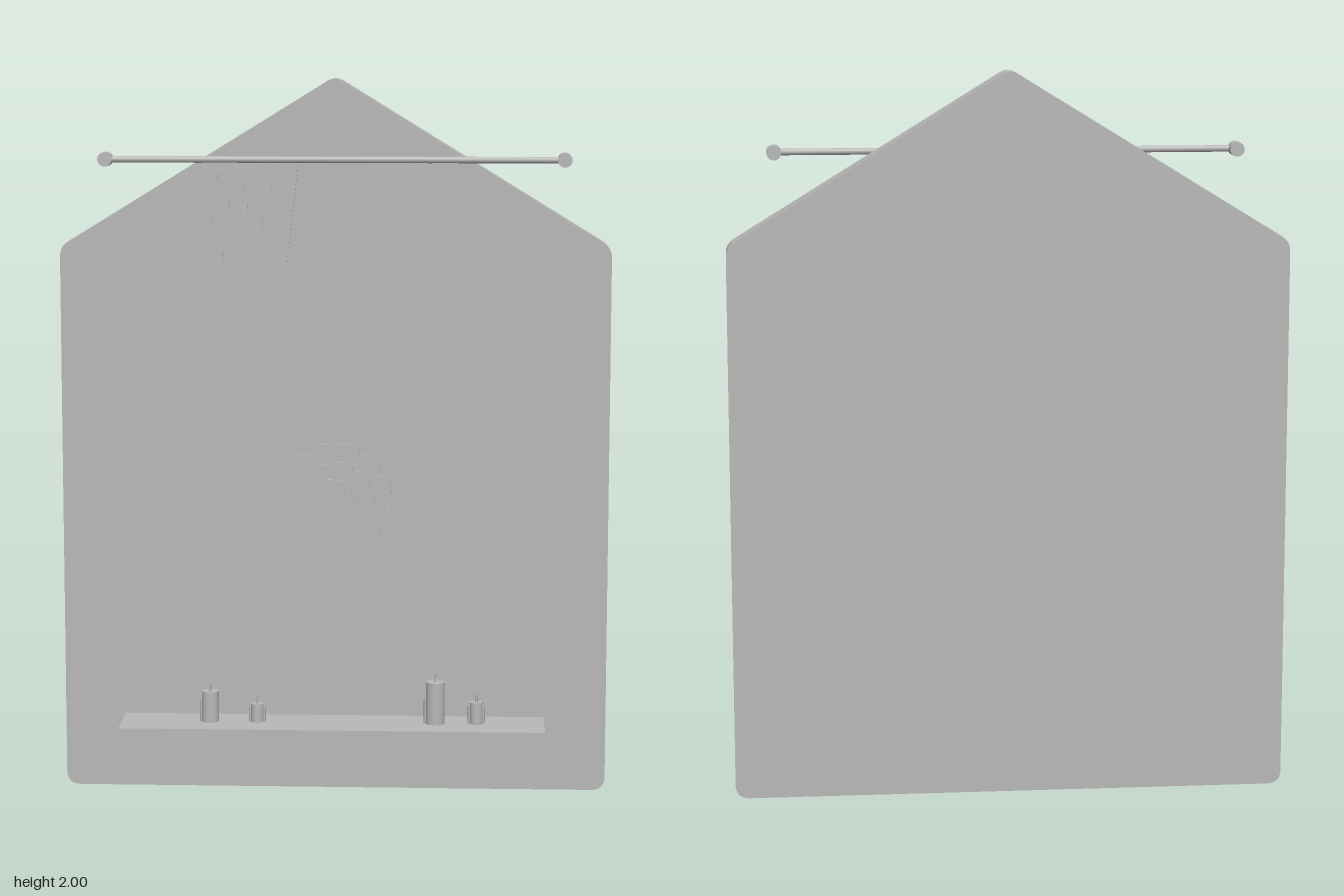
import * as THREE from 'three';

const grey = new THREE.MeshStandardMaterial({ color: 0xb8b8b8 });
grey.name = 'stone grey';

function add(parent, name, geometry, x = 0, y = 0, z = 0) {
  const mesh = new THREE.Mesh(geometry, grey);
  mesh.name = name;
  mesh.position.set(x, y, z);
  parent.add(mesh);
  return mesh;
}

const plate = (shape, depth) =>
  new THREE.ExtrudeGeometry(shape, { depth, bevelEnabled: false, curveSegments: 8 });

const polygon = (points) => new THREE.Shape(points.map(([x, y]) => new THREE.Vector2(x, y)));

function ellipse(x, y, rx, ry) {
  return new THREE.Path().absellipse(x, y, rx, ry, 0, Math.PI * 2);
}

// Small pointed drop, cut through the bunting
function drop(x, y) {
  const p = new THREE.Path();
  p.moveTo(x, y + 0.023);
  p.quadraticCurveTo(x + 0.03, y - 0.004, x, y - 0.023);
  p.quadraticCurveTo(x - 0.03, y - 0.004, x, y + 0.023);
  return p;
}

// House-shaped board with rounded corners
function boardShape() {
  const s = new THREE.Shape();
  s.moveTo(-0.725, 0);
  s.lineTo(0.725, 0);
  s.quadraticCurveTo(0.765, 0, 0.765, 0.04);
  s.lineTo(0.765, 1.51);
  s.quadraticCurveTo(0.765, 1.535, 0.745, 1.549);
  s.lineTo(0.022, 1.993);
  s.quadraticCurveTo(0, 2.007, -0.022, 1.993);
  s.lineTo(-0.745, 1.549);
  s.quadraticCurveTo(-0.765, 1.535, -0.765, 1.51);
  s.lineTo(-0.765, 0.04);
  s.quadraticCurveTo(-0.765, 0, -0.725, 0);
  return s;
}

// Scalloped disc with rounded lobes
function rosetteShape(radius, lobes, turn) {
  const points = [];
  const steps = lobes * 8;
  for (let i = 0; i < steps; i++) {
    const a = (i / steps) * Math.PI * 2;
    const r = radius * (0.88 + 0.12 * Math.sqrt(Math.abs(Math.sin((a * lobes) / 2))));
    points.push([Math.cos(a + turn) * r, Math.sin(a + turn) * r]);
  }
  return polygon(points);
}

// Flag with a paw print cut-out
function pawFlag() {
  const s = new THREE.Shape();
  s.moveTo(-0.365, 1.775);
  s.lineTo(-0.39, 1.53);
  s.lineTo(-0.305, 1.5);
  s.bezierCurveTo(-0.32, 1.55, -0.285, 1.525, -0.275, 1.54);
  s.bezierCurveTo(-0.25, 1.57, -0.22, 1.55, -0.21, 1.535);
  s.quadraticCurveTo(-0.18, 1.525, -0.185, 1.5);
  s.lineTo(-0.13, 1.5);
  s.lineTo(-0.1, 1.765);
  s.holes.push(
    ellipse(-0.32, 1.622, 0.022, 0.028), ellipse(-0.273, 1.653, 0.02, 0.029),
    ellipse(-0.22, 1.648, 0.02, 0.028), ellipse(-0.178, 1.606, 0.022, 0.028),
    drop(-0.315, 1.717), drop(-0.236, 1.706), drop(-0.162, 1.7));
  return s;
}

// Flag with a flower cut-out that opens at the lower edge
function flowerFlag() {
  const at = (deg, r) => {
    const a = THREE.MathUtils.degToRad(deg);
    return [0.225 + Math.cos(a) * r, 1.58 + Math.sin(a) * r];
  };
  const s = new THREE.Shape();
  s.moveTo(0.075, 1.76);
  s.lineTo(0.34, 1.775);
  s.lineTo(0.374, 1.563);
  s.lineTo(0.326, 1.547);
  for (const angle of [15, 65, 115, 165, 215]) {
    s.lineTo(...at(angle - 24, 0.024));
    s.quadraticCurveTo(...at(angle - 22, 0.07), ...at(angle, 0.088));
    s.quadraticCurveTo(...at(angle + 22, 0.07), ...at(angle + 24, 0.024));
  }
  s.lineTo(0.2, 1.505);
  s.lineTo(0.114, 1.5);
  s.holes.push(drop(0.14, 1.703), drop(0.215, 1.71), drop(0.289, 1.722));
  return s;
}

// Candle with wick and wax drips, standing on the shelf top
function candle(x, radius, height, drips) {
  const g = new THREE.Group();
  g.name = 'candle';
  g.position.set(x, 0.21, 0.04);
  add(g, 'candleBody', new THREE.CylinderGeometry(radius, radius, height, 20), 0, height / 2);
  add(g, 'wick', new THREE.CylinderGeometry(0.004, 0.004, 0.024, 8), 0, height + 0.01);
  for (const [side, part] of drips) {
    const h = height * part;
    add(g, 'waxDrip', new THREE.CylinderGeometry(0.006, 0.006, h, 8), side * radius, h / 2);
  }
  return g;
}

export function createModel() {
  const model = new THREE.Group();
  model.name = 'wallShrine';

  add(model, 'backBoard', plate(boardShape(), 0.095), 0, 0, -0.138);
  add(model, 'shelf', new THREE.BoxGeometry(1.185, 0.09, 0.18), -0.002, 0.165, 0.047);

  // Curtain rod and its end posts
  const rod = add(model, 'rod', new THREE.CylinderGeometry(0.009, 0.009, 1.25, 12), 0, 1.78, -0.009);
  rod.rotation.z = Math.PI / 2;
  for (const side of [-1, 1]) {
    const post = add(model, 'rodPost', new THREE.CylinderGeometry(0.02, 0.02, 0.049, 16),
      side * 0.632, 1.78, -0.0195);
    post.rotation.x = Math.PI / 2;
  }

  // Bunting
  add(model, 'pawFlag', plate(pawFlag(), 0.008), 0, 0, -0.013);
  add(model, 'flowerFlag', plate(flowerFlag(), 0.008), 0, 0, -0.013);
  add(model, 'flagScrap', plate(polygon([[0.255, 1.535], [0.28, 1.508], [0.305, 1.52]]), 0.008), 0, 0, -0.013);

  // Rosette of three stacked layers
  [[0.166, 12, -0.043], [0.115, 9, -0.029], [0.068, 7, -0.015]].forEach(([r, lobes, z], i) =>
    add(model, 'rosetteLayer', plate(rosetteShape(r, lobes, i * 0.3), 0.0145), -0.002, 0.826, z));

  // Candles
  model.add(
    candle(-0.346, 0.024, 0.087, [[-1, 0.75]]),
    candle(-0.214, 0.018, 0.052, [[-1, 0.8], [1, 0.8]]),
    candle(0.285, 0.026, 0.119, [[-1, 0.6]]),
    candle(0.4, 0.018, 0.062, [[-1, 0.8], [1, 0.8]]));

  return model;
}
